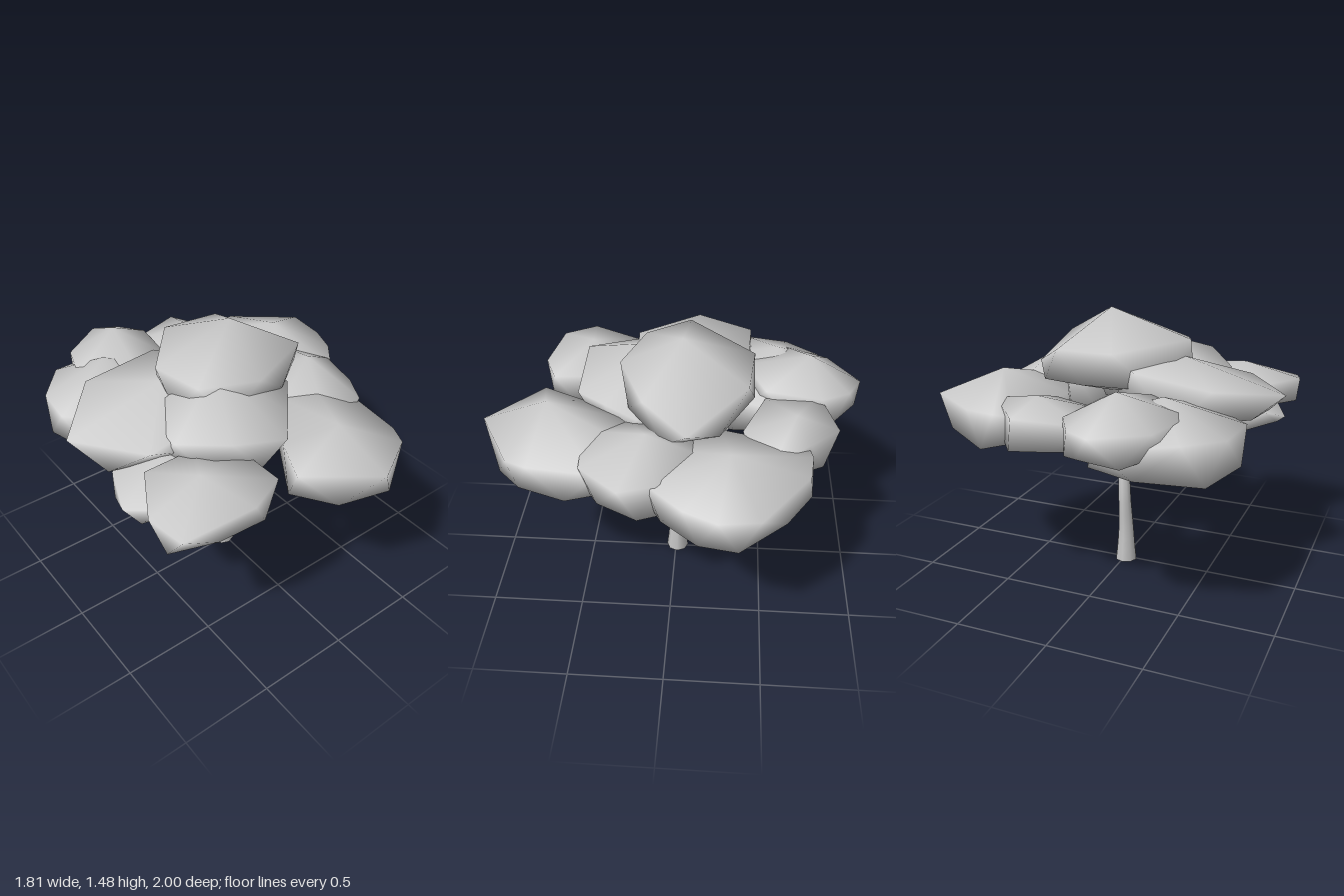
import * as THREE from 'three';

const material = new THREE.MeshStandardMaterial({ color: 0xcccccc, roughness: 0.9 });

// Faceted cushion of leaves: apex, shoulder ring [x, z, y], staggered lower ring, bottom point.
// The shoulder ring runs from +x towards +z.
function foliage(name, apex, bottom, lowY, spread, shoulder) {
  const n = shoulder.length;
  const cx = shoulder.reduce((s, p) => s + p[0], 0) / n;
  const cz = shoulder.reduce((s, p) => s + p[1], 0) / n;
  const pos = [...apex, cx, bottom, cz];
  shoulder.forEach(([x, z, y]) => pos.push(x, y, z));
  shoulder.forEach(([x, z], i) => {
    const [x2, z2] = shoulder[(i + 1) % n];
    const wobble = lowY + (i % 2 ? 0.02 : -0.02);
    pos.push(cx + ((x + x2) / 2 - cx) * spread, wobble, cz + ((z + z2) / 2 - cz) * spread);
  });
  const index = [];
  for (let i = 0; i < n; i++) {
    const j = (i + 1) % n;
    const a = 2 + i, b = 2 + j, c = 2 + n + i, d = 2 + n + j;
    index.push(0, b, a, a, b, c, b, d, c, 1, c, d);
  }
  const g = new THREE.BufferGeometry();
  g.setAttribute('position', new THREE.Float32BufferAttribute(pos, 3));
  g.setIndex(index);
  g.computeVertexNormals();
  const mesh = new THREE.Mesh(g, material);
  mesh.name = name;
  return mesh;
}

// Tapered limb along a curve, closed at both ends
function limb(name, points, r0, r1, sides = 7, flare = 0) {
  const curve = new THREE.CatmullRomCurve3(points.map(p => new THREE.Vector3(...p)));
  const steps = 8;
  const g = new THREE.TubeGeometry(curve, steps, 1, sides, false);
  const p = g.attributes.position, v = new THREE.Vector3();
  for (let i = 0; i < p.count; i++) {
    const t = Math.floor(i / (sides + 1)) / steps;
    const c = curve.getPointAt(t);
    const r = r0 + (r1 - r0) * t + flare * (1 - t) ** 3;
    v.fromBufferAttribute(p, i).sub(c).multiplyScalar(r).add(c);
    p.setXYZ(i, v.x, v.y, v.z);
  }
  const mesh = new THREE.Mesh(g, material);
  mesh.name = name;
  const group = new THREE.Group();
  group.name = name;
  group.add(mesh);
  [0, 1].forEach(t => {
    const cap = new THREE.Mesh(new THREE.CircleGeometry(t ? r1 : r0 + flare, sides), material);
    cap.name = name + 'Cap';
    cap.position.copy(curve.getPointAt(t));
    cap.lookAt(cap.position.clone().addScaledVector(curve.getTangentAt(t), t ? 1 : -1));
    group.add(cap);
  });
  return group;
}

export function createModel() {
  const tree = new THREE.Group();
  tree.name = 'tree';

  // Trunk and forked branches
  tree.add(limb('trunk', [[-0.012, 0, -0.01], [-0.012, 0.2, -0.012], [-0.008, 0.4, -0.025], [0, 0.57, -0.015]],
    0.043, 0.034, 8, 0.02));
  const branches = [
    [[0, 0.53, -0.01], [0.06, 0.63, 0.08], [0.2, 0.76, 0.24], [0.3, 0.9, 0.45]],
    [[0, 0.53, -0.01], [0.07, 0.63, -0.1], [0.22, 0.77, -0.25], [0.45, 0.9, -0.45]],
    [[0, 0.53, -0.01], [-0.1, 0.65, 0.08], [-0.27, 0.75, 0.2], [-0.5, 0.87, 0.42]],
    [[0, 0.53, -0.01], [-0.05, 0.63, -0.1], [-0.2, 0.76, -0.28], [-0.4, 0.86, -0.48]],
  ];
  branches.forEach(b => tree.add(limb('branch', b, 0.027, 0.01)));
  const twigs = [
    [[-0.04, 0.6, 0.03], [-0.13, 0.71, 0.05], [-0.25, 0.8, 0.04], [-0.4, 0.98, 0]],
    [[-0.16, 0.69, 0.13], [-0.28, 0.77, 0.14], [-0.52, 0.88, 0.12]],
    [[0.17, 0.73, 0.19], [0.24, 0.8, 0.18], [0.42, 0.92, 0.15]],
    [[-0.12, 0.71, -0.17], [-0.13, 0.82, -0.28], [-0.1, 0.96, -0.45]],
  ];
  twigs.forEach(t => tree.add(limb('twig', t, 0.016, 0.008, 6)));

  // Crown flowing down into the middle and left cushions
  tree.add(foliage('crownFoliage', [0.06, 1.475, -0.04], 1.02, 1.12, 1.06, [
    [0.47, -0.08, 1.16], [0.38, 0.14, 1.3], [0, 0.29, 1.29], [-0.3, 0.18, 1.3],
    [-0.39, -0.06, 1.34], [-0.1, -0.41, 1.31], [0.22, -0.38, 1.3]]));
  tree.add(foliage('leftFoliage', [-0.36, 1.25, -0.06], 0.92, 0.99, 1.04, [
    [0.05, -0.05, 1.2], [-0.12, 0.22, 1.17], [-0.64, 0.26, 1.11], [-0.9, -0.09, 1.105],
    [-0.61, -0.4, 1.17], [-0.2, -0.38, 1.22]]));
  tree.add(foliage('middleFoliage', [-0.14, 1.33, 0.1], 0.9, 0.99, 1.02, [
    [0.28, 0.18, 1.12], [0.12, 0.37, 1.1], [-0.02, 0.53, 1.08], [-0.34, 0.51, 1.18],
    [-0.52, 0.28, 1.13], [-0.52, 0, 1.16], [-0.05, -0.15, 1.2]]));

  // Joined cushions along the back
  tree.add(foliage('backLeftFoliage', [-0.42, 1.17, -0.55], 0.75, 0.84, 1.08, [
    [-0.03, -0.47, 1.02], [-0.2, -0.15, 0.98], [-0.55, -0.15, 1.02], [-0.78, -0.38, 1.03],
    [-0.75, -0.62, 1.02], [-0.59, -0.8, 1.03], [-0.2, -0.88, 0.98]]));
  tree.add(foliage('backFoliage', [-0.25, 1.22, -0.72], 0.88, 0.95, 1.03, [
    [-0.01, -0.78, 1.09], [-0.06, -0.48, 1.1], [-0.3, -0.37, 1.12], [-0.56, -0.58, 1.1],
    [-0.47, -0.84, 1.08], [-0.23, -1.0, 1.08], [-0.1, -0.93, 1.08]]));
  tree.add(foliage('backRightFoliage', [0.2, 1.13, -0.63], 0.83, 0.9, 1.04, [
    [0.52, -0.5, 1.05], [0.24, -0.36, 1.05], [-0.07, -0.48, 1.05],
    [-0.12, -0.77, 1.05], [0.23, -0.85, 1.07], [0.34, -0.7, 1.05]]));

  // Joined cushions along the right side and round to the front
  tree.add(foliage('rightFoliage', [0.58, 1.155, -0.3], 0.78, 0.86, 1.04, [
    [0.9, -0.25, 1.0], [0.83, -0.08, 1.01], [0.68, 0.1, 1.03], [0.4, 0.12, 1.04], [0.22, -0.25, 1.04],
    [0.31, -0.69, 1.02], [0.41, -0.71, 1.03], [0.57, -0.69, 1.03], [0.895, -0.45, 1.02]]));
  tree.add(foliage('rightMiddleFoliage', [0.47, 1.175, 0.12], 0.78, 0.85, 1.04, [
    [0.7, 0.05, 1.04], [0.7, 0.24, 0.99], [0.57, 0.44, 1.03], [0.3, 0.45, 1.06], [0.17, 0.25, 1.05],
    [0.25, -0.05, 1.05], [0.52, -0.2, 1.08]]));
  tree.add(foliage('frontFoliage', [0.19, 1.155, 0.66], 0.74, 0.83, 0.99, [
    [0.59, 0.34, 1.0], [0.55, 0.71, 1.0], [0.5, 0.82, 1.0], [0.2, 0.995, 1.04],
    [-0.13, 0.73, 1.03], [-0.02, 0.5, 1.03], [0.2, 0.2, 1.06], [0.45, 0.15, 1.06]]));

  // Lower cushions at the front left
  tree.add(foliage('frontLeftFoliage', [-0.54, 1.11, 0.52], 0.84, 0.89, 0.98, [
    [-0.22, 0.7, 1.045], [-0.42, 0.78, 1.03], [-0.8, 0.74, 1.0], [-0.85, 0.55, 1.03],
    [-0.69, 0.27, 1.04], [-0.4, 0.28, 1.05], [-0.23, 0.47, 1.05]]));
  tree.add(foliage('lowLeftFoliage', [-0.55, 1.05, 0.2], 0.79, 0.86, 1.06, [
    [-0.22, 0.2, 0.95], [-0.4, 0.45, 0.95], [-0.72, 0.46, 0.95], [-0.83, 0.28, 0.88],
    [-0.76, 0.08, 0.95], [-0.45, -0.08, 0.97]]));
  return tree;
}
